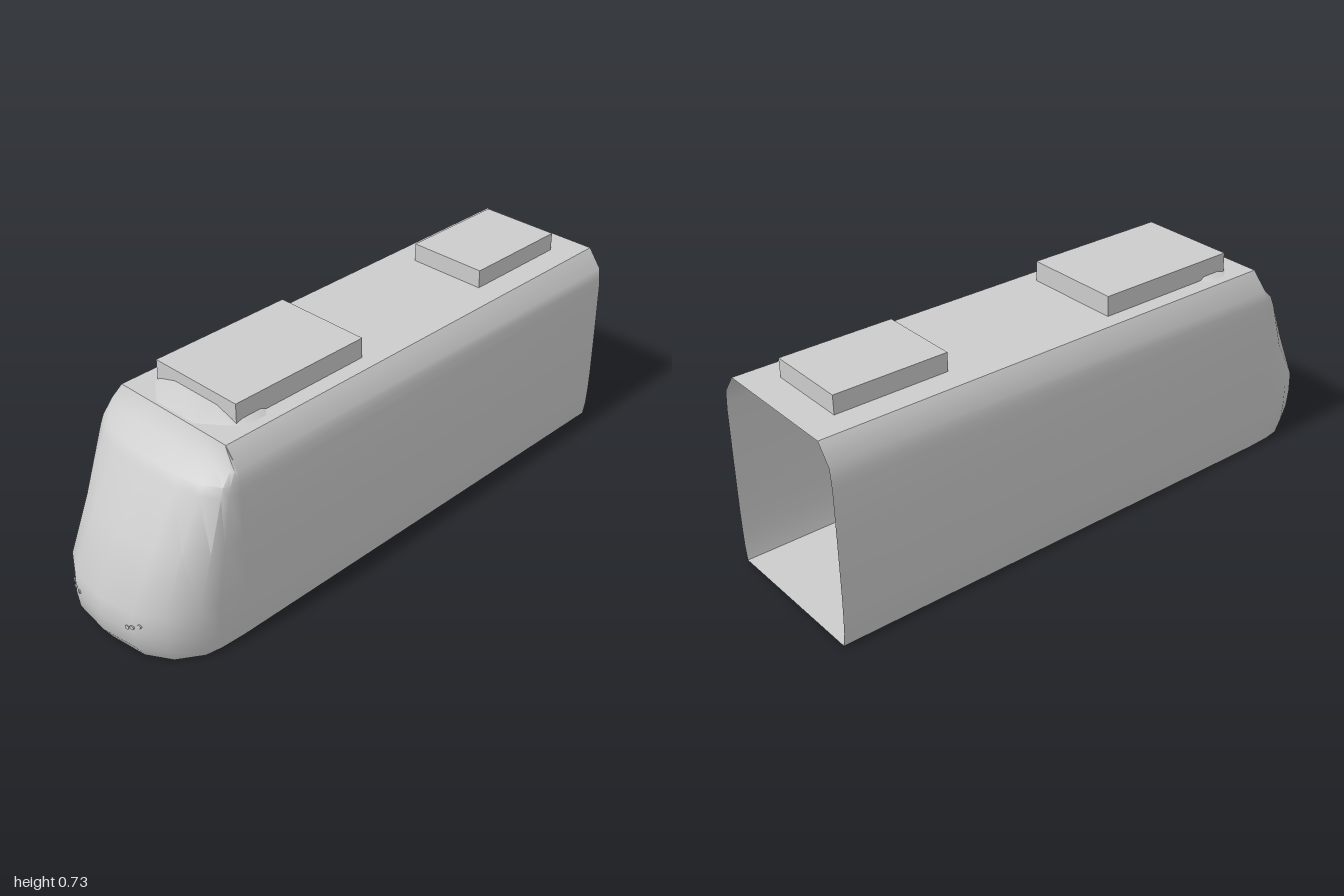
import * as THREE from 'three';
import { toCreasedNormals } from 'three/addons/utils/BufferGeometryUtils.js';

const grey = new THREE.MeshStandardMaterial({ color: 0xcccccc, side: THREE.DoubleSide });
grey.name = 'bodyGrey';

const BACK = -1, NOSE = 0.68;
// Body levels: height, half width, foremost z
const LEVELS = [
  [0, 0.27, 0.96], [0.05, 0.278, 0.992], [0.11, 0.281, 1], [0.18, 0.283, 0.997], [0.36, 0.283, 0.899],
  [0.53, 0.282, 0.802], [0.56, 0.279, 0.78], [0.597, 0.275, 0.715], [0.66, 0.228, NOSE],
];
// Nose plan: fraction of half width, fraction of nose depth
const PLAN = [[1, 0], [0.985, 0.3], [0.95, 0.5], [0.76, 0.78], [0.47, 0.945], [0, 1]];

// Skin a stack of loops, each running from +x round the front to -x
function skin(loops, { closed = false, floor = false } = {}) {
  const pos = [];
  const tri = (...pts) => pts.forEach((p) => pos.push(...p));
  const n = loops[0].length;
  for (let j = 0; j < loops.length - 1; j++) {
    for (let i = 0; i < (closed ? n : n - 1); i++) {
      const k = (i + 1) % n;
      const a = loops[j][i], b = loops[j][k], c = loops[j + 1][k], d = loops[j + 1][i];
      tri(a, d, c);
      tri(a, c, b);
    }
  }
  const top = loops[loops.length - 1], bottom = loops[0];
  for (let i = 1; i < n - 1; i++) {
    tri(top[0], top[i + 1], top[i]);
    if (floor) tri(bottom[0], bottom[i], bottom[i + 1]);
  }
  const g = new THREE.BufferGeometry();
  g.setAttribute('position', new THREE.Float32BufferAttribute(pos, 3));
  return toCreasedNormals(g, 0.75);
}

// Mirror a half loop, ending on or off the centre line
function mirrorLoop(half) {
  const other = half.filter((p) => p[0] > 0).map(([x, y, z]) => [-x, y, z]).reverse();
  return [...half, ...other];
}

// Nose surface z for a small lamp at x, y
function noseZ(x, y) {
  const j = LEVELS.findIndex((l) => l[0] > y);
  const [y0, w0, z0] = LEVELS[j - 1], [y1, w1, z1] = LEVELS[j];
  const t = (y - y0) / (y1 - y0);
  const f = Math.abs(x) / THREE.MathUtils.lerp(w0, w1, t);
  const i = PLAN.findIndex((p) => p[0] <= f);
  const [f0, d0] = PLAN[i - 1], [f1, d1] = PLAN[i];
  const d = THREE.MathUtils.mapLinear(f, f0, f1, d0, d1);
  return NOSE + d * (THREE.MathUtils.lerp(z0, z1, t) - NOSE);
}

export function createModel() {
  const model = new THREE.Group();
  model.name = 'trainCar';
  const add = (name, geometry, x = 0, y = 0, z = 0) => {
    const mesh = new THREE.Mesh(geometry, grey);
    mesh.name = name;
    mesh.position.set(x, y, z);
    model.add(mesh);
    return mesh;
  };

  // Hollow car body with rounded nose and open rear end
  add('bodyShell', skin(LEVELS.map(([y, w, zf]) => mirrorLoop([
    [w, y, BACK],
    ...PLAN.map(([fx, fz]) => [w * fx, y, NOSE + (zf - NOSE) * fz]),
  ])), { floor: true }));

  // Low faceted fairing beneath the front roof unit
  add('roofFairing', skin([
    mirrorLoop([[0.14, 0.658, 0.44], [0.2, 0.658, 0.5], [0.2, 0.658, 0.57], [0.165, 0.658, 0.61], [0.08, 0.658, 0.675]]),
    mirrorLoop([[0.1, 0.672, 0.46], [0.175, 0.67, 0.5], [0.175, 0.67, 0.56], [0.15, 0.674, 0.585], [0.09, 0.69, 0.59]]),
  ], { closed: true }));

  // Roof equipment boxes
  add('frontRoofUnit', new THREE.BoxGeometry(0.344, 0.07, 0.51), 0, 0.693, 0.335);
  add('rearRoofUnit', new THREE.BoxGeometry(0.28, 0.064, 0.385), 0, 0.69, -0.7);

  // Two rows of three small lamps
  const lamp = new THREE.CylinderGeometry(0.0075, 0.0075, 0.006, 6).rotateX(Math.PI / 2);
  for (const side of [-1, 1]) {
    [[0.112, 0.124], [0.131, 0.132], [0.15, 0.139]].forEach(([x, y], i) => {
      const name = (side > 0 ? 'leftLamp' : 'rightLamp') + (i + 1);
      add(name, lamp, side * x, y, noseZ(x, y)).rotation.y = side * 0.25;
    });
  }
  return model;
}
